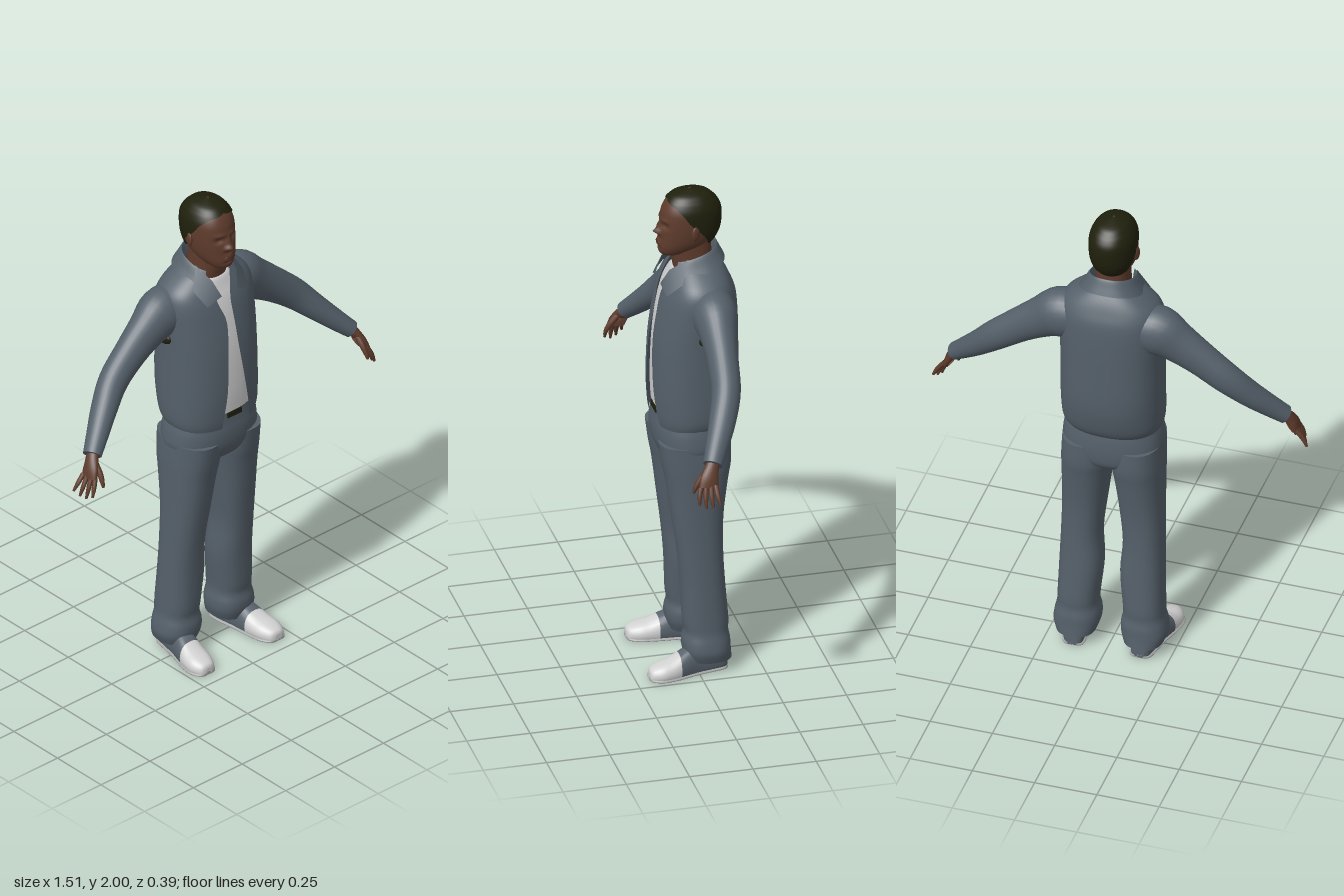
import * as THREE from 'three';

const mat = (name, color, side = THREE.FrontSide) => {
  const m = new THREE.MeshStandardMaterial({ color, side });
  m.name = name;
  return m;
};
const V = (x, y, z) => new THREE.Vector3(x, y, z);

// Skin a list of rings; winding is corrected so that faces point outwards
function loft(rings, { closed = true, caps = true } = {}) {
  const n = rings[0].length, pos = [], idx = [];
  rings.forEach(r => r.forEach(p => pos.push(p.x, p.y, p.z)));
  for (let i = 0; i < rings.length - 1; i++)
    for (let j = 0; j < (closed ? n : n - 1); j++) {
      const a = i * n + j, b = i * n + (j + 1) % n;
      idx.push(a, b, b + n, a, b + n, a + n);
    }
  if (caps) [0, rings.length - 1].forEach(i => {
    const r = rings[i], base = pos.length / 3;
    const c = r.reduce((s, p) => s.add(p), V(0, 0, 0)).divideScalar(n);
    [...r, c].forEach(p => pos.push(p.x, p.y, p.z));
    for (let j = 0; j < n; j++) {
      const a = base + j, b = base + (j + 1) % n;
      i ? idx.push(a, b, base + n) : idx.push(b, a, base + n);
    }
  });
  const P = i => V(pos[3 * i], pos[3 * i + 1], pos[3 * i + 2]);
  const mid = rings.flat().reduce((s, p) => s.add(p), V(0, 0, 0)).divideScalar(n * rings.length);
  let vol = 0;
  for (let i = 0; i < idx.length; i += 3) {
    const [a, b, c] = [0, 1, 2].map(k => P(idx[i + k]).sub(mid));
    vol += a.dot(b.cross(c));
  }
  if (vol < 0) idx.reverse();
  const g = new THREE.BufferGeometry();
  g.setAttribute('position', new THREE.Float32BufferAttribute(pos, 3));
  g.setIndex(idx);
  g.computeVertexNormals();
  return g;
}

// Catmull-Rom refinement of a table of section rows
function refine(rows, k) {
  const out = [], at = i => rows[Math.min(Math.max(i, 0), rows.length - 1)];
  for (let i = 0; i < rows.length - 1; i++)
    for (let s = 0; s < k; s++) {
      const t = s / k;
      out.push(rows[i].map((p1, c) => {
        const p0 = at(i - 1)[c], p2 = at(i + 1)[c], p3 = at(i + 2)[c];
        return p1 + 0.5 * t * (p2 - p0 + t * (2 * p0 - 5 * p1 + 4 * p2 - p3 + t * (3 * (p1 - p2) + p3 - p0)));
      }));
    }
  out.push(rows[rows.length - 1]);
  return out;
}

const pw = (v, e) => Math.sign(v) * Math.abs(v) ** e;

// Upright body: rows are [y, xMin, xMax, zFront, zBack, gapLeft, gapRight]; gaps (radians) leave the front open
function upright(rows, { n = 40, e = 0.85, k = 4, open = false, caps = !open, tilt = 0 } = {}) {
  return loft(refine(rows, k).map(([y, x0, x1, zf, zb, a = 0, b = 0]) =>
    Array.from({ length: n }, (_, j) => {
      const t = open ? a + (2 * Math.PI - a - b) * j / (n - 1) : 2 * Math.PI * j / n;
      const z = (zf + zb) / 2 + (zf - zb) / 2 * pw(Math.cos(t), e);
      return V((x0 + x1) / 2 + (x1 - x0) / 2 * pw(Math.sin(t), e), y - tilt * z, z);
    })), { closed: !open, caps });
}
const sym = rows => rows.map(([y, r, ...rest]) => [y, -r, r, ...rest]);

// Limb along a path: rows are [x, y, z, halfThickness, halfWidth]; s mirrors x
function limb(rows, s, n = 20, k = 4) {
  const R = refine(rows, k), C = R.map(r => V(r[0] * s, r[1], r[2]));
  return loft(R.map((r, i) => {
    const t = C[Math.min(i + 1, C.length - 1)].clone().sub(C[Math.max(i - 1, 0)]).normalize();
    const u = V(0, 0, 1).addScaledVector(t, -t.z).normalize(), v = t.clone().cross(u);
    return Array.from({ length: n }, (_, j) => {
      const a = 2 * Math.PI * j / n;
      return C[i].clone().addScaledVector(v, r[3] * Math.cos(a)).addScaledVector(u, r[4] * Math.sin(a));
    });
  }));
}

// Shoe piece along z: rows are [z, centreX, halfWidth, top], flat at the ground
const shoe = (rows, s) => loft(refine(rows, 4).map(([z, cx, w, h]) =>
  Array.from({ length: 24 }, (_, j) => {
    const a = 2 * Math.PI * j / 24;
    return V(s * (cx + w * pw(Math.cos(a), 0.75)), Math.max(0.002, h * (0.35 + 0.65 * Math.sin(a))), z);
  })));

export function createModel() {
  const root = new THREE.Group();
  root.name = 'standingMan';
  const denim = mat('denim', 0x55606a, THREE.DoubleSide);
  const skin = mat('skin', 0x5e3b2c), palmSkin = mat('palm', 0x8a5c48), lip = mat('lips', 0x4c2c24);
  const hair = mat('hair', 0x20200d, THREE.DoubleSide);
  const white = mat('white', 0xd2d2d2), shoeGrey = mat('shoeGrey', 0x59636d), soleGrey = mat('sole', 0xa5a5a5);
  const add = (name, geo, m) => {
    const mesh = new THREE.Mesh(geo, m);
    mesh.name = name;
    root.add(mesh);
    return mesh;
  };
  const ball = (name, m, p, r, rot = 0) => {
    const b = add(name, new THREE.SphereGeometry(1, 20, 14), m);
    b.position.set(...p);
    b.scale.set(...r);
    b.rotation.y = rot;
  };

  // Head, with the face shaped by soft bumps [x, y, widthX, widthY, depth]
  const headRows = [
    [1.732, 0.03, 0.1, 0.0], [1.745, 0.05, 0.112, -0.03], [1.77, 0.068, 0.116, -0.07],
    [1.8, 0.08, 0.113, -0.1], [1.84, 0.087, 0.11, -0.12], [1.88, 0.089, 0.106, -0.128],
    [1.92, 0.087, 0.099, -0.126], [1.955, 0.074, 0.08, -0.108], [1.98, 0.05, 0.05, -0.075], [1.994, 0.008, 0.0, -0.02]];
  const head = upright(sym(headRows), { n: 72, e: 0.92, k: 7 });
  const bumps = [
    [0, 1.832, 0.014, 0.011, 0.022], [0, 1.855, 0.009, 0.02, 0.012], [0.016, 1.828, 0.008, 0.008, 0.008],
    [0.034, 1.864, 0.017, 0.011, -0.012], [0.03, 1.886, 0.024, 0.008, 0.005],
    [0, 1.795, 0.02, 0.006, 0.007], [0, 1.78, 0.018, 0.006, 0.006], [0, 1.766, 0.02, 0.006, -0.005]];
  const hp = head.attributes.position;
  for (let i = 0; i < hp.count; i++) if (hp.getZ(i) > 0.03) {
    const x = Math.abs(hp.getX(i)), y = hp.getY(i);
    const d = bumps.reduce((s, [bx, by, wx, wy, h]) =>
      s + h * Math.exp(-(((x - bx) / wx) ** 2) - ((y - by) / wy) ** 2), 0);
    hp.setZ(i, hp.getZ(i) + d);
  }
  head.computeVertexNormals();
  add('head', head, skin);
  add('neck', upright(sym([[1.58, 0.08, 0.05, -0.1], [1.66, 0.074, 0.053, -0.1], [1.72, 0.066, 0.062, -0.095], [1.79, 0.064, 0.07, -0.09]])), skin);
  ball('mouth', lip, [0, 1.788, 0.113], [0.022, 0.006, 0.009]);

  // Cropped hair: an open cap with hairline, temples and nape
  add('hair', upright(sym([
    [1.768, 0.062, 0.08, -0.088, 2.5, 2.5], [1.79, 0.08, 0.1, -0.106, 2.2, 2.2], [1.82, 0.088, 0.112, -0.123, 1.95, 1.95],
    [1.85, 0.092, 0.113, -0.131, 1.7, 1.7], [1.89, 0.093, 0.11, -0.134, 1.4, 1.4], [1.925, 0.09, 0.102, -0.13, 1.15, 1.15],
    [1.95, 0.081, 0.09, -0.117, 0.75, 0.75], [1.966, 0.071, 0.077, -0.102, 0, 0], [1.985, 0.051, 0.052, -0.077, 0, 0],
    [2.0, 0.004, -0.005, -0.015, 0, 0]]), { n: 60, e: 0.92, open: true }), hair);

  // Shirt and belt buckle
  add('shirt', upright(sym([
    [1.095, 0.175, 0.133, -0.14], [1.2, 0.18, 0.137, -0.17], [1.37, 0.18, 0.13, -0.17], [1.5, 0.18, 0.111, -0.165],
    [1.58, 0.17, 0.092, -0.155], [1.63, 0.145, 0.073, -0.14], [1.665, 0.1, 0.06, -0.115], [1.675, 0.085, 0.05, -0.1]])), white);
  const buckle = add('beltBuckle', new THREE.BoxGeometry(0.07, 0.022, 0.009), hair);
  buckle.position.set(0.01, 1.083, 0.132);

  // Open jacket
  add('jacket', upright(sym([
    [1.035, 0.185, 0.138, -0.14, 0.44, 0.24], [1.08, 0.198, 0.146, -0.165, 0.35, 0.22], [1.2, 0.2, 0.152, -0.19, 0.22, 0.15],
    [1.37, 0.2, 0.144, -0.19, 0.095, 0.107], [1.5, 0.204, 0.124, -0.186, 0.057, 0.067], [1.58, 0.204, 0.106, -0.178, 0.046, 0.168],
    [1.63, 0.188, 0.086, -0.16, 0.114, 0.23], [1.67, 0.145, 0.066, -0.14, 0.27, 0.34], [1.705, 0.092, 0.05, -0.115, 0.58, 0.58]]),
    { n: 64, open: true }), denim);

  // Folded collar, its front points added per side below
  add('collar', upright(sym([
    [1.68, 0.08, 0.06, -0.1, 0.75, 0.75], [1.728, 0.085, 0.07, -0.108, 0.75, 0.75], [1.732, 0.09, 0.075, -0.114, 0.75, 0.75],
    [1.7, 0.108, 0.09, -0.128, 0.75, 0.75], [1.668, 0.128, 0.1, -0.142, 0.75, 0.75]]), { open: true, tilt: 0.3 }), denim);

  // Trouser seat
  add('hips', upright(sym([
    [0.86, 0.07, 0.07, -0.1], [0.89, 0.15, 0.11, -0.135], [0.94, 0.196, 0.134, -0.146], [1.0, 0.196, 0.139, -0.145],
    [1.05, 0.185, 0.133, -0.138], [1.092, 0.172, 0.129, -0.132]])), denim);

  for (const [s, side] of [[1, 'left'], [-1, 'right']]) {
    ball(side + 'Ear', skin, [s * 0.091, 1.845, -0.012], [0.009, 0.03, 0.018], s * 0.35);
    ball(side + 'Eye', lip, [s * 0.034, 1.864, 0.081], [0.014, 0.007, 0.009], s * 0.3);

    // Collar point
    const flap = new THREE.BufferGeometry();
    const pts = [[0.084, 1.735, 0.015], [0.062, 1.69, 0.085], [0.04, 1.625, 0.116], [0.105, 1.597, 0.108], [0.127, 1.65, 0.05]];
    flap.setAttribute('position', new THREE.Float32BufferAttribute(pts.flatMap(p => [p[0] * s, p[1], p[2]]), 3));
    flap.setIndex(s > 0 ? [0, 1, 4, 1, 3, 4, 1, 2, 3] : [0, 4, 1, 1, 4, 3, 1, 3, 2]);
    flap.computeVertexNormals();
    add(side + 'CollarPoint', flap, denim);

    // Sleeve and underarm patch
    add(side + 'Sleeve', limb([
      [0.11, 1.55, -0.06, 0.085, 0.085], [0.195, 1.535, -0.06, 0.103, 0.088], [0.27, 1.492, -0.055, 0.084, 0.071],
      [0.36, 1.43, -0.048, 0.07, 0.06], [0.46, 1.35, -0.035, 0.061, 0.056], [0.54, 1.27, 0.0, 0.05, 0.052],
      [0.61, 1.2, 0.04, 0.041, 0.044], [0.662, 1.15, 0.07, 0.034, 0.038]], s, 28), denim);
    ball(side + 'UnderarmPatch', hair, [s * 0.203, 1.437, -0.035], [0.014, 0.026, 0.04]);

    // Hand: palm, four fingers, thumb
    add(side + 'Hand', limb([[0.645, 1.168, 0.06, 0.022, 0.026], [0.668, 1.14, 0.076, 0.02, 0.028],
      [0.688, 1.105, 0.09, 0.018, 0.036], [0.703, 1.073, 0.097, 0.012, 0.037]], s), skin);
    add(side + 'Palm', limb([[0.662, 1.132, 0.08, 0.006, 0.012], [0.671, 1.105, 0.09, 0.006, 0.028],
      [0.689, 1.073, 0.097, 0.005, 0.03]], s), palmSkin);
    for (let i = 0; i < 4; i++) {
      const o = i - 1.5, L = [0.06, 0.075, 0.08, 0.068][i], z = 0.096 + o * 0.018;
      const dx = 0.036 - o * 0.006;
      add(side + 'Finger' + (i + 1), limb([[0.7 - o * 0.004, 1.083, z, 0.01, 0.01],
        [0.7 + dx * 0.6 - o * 0.004, 1.08 - L * 0.5, z + 0.005 + o * 0.004, 0.009, 0.009],
        [0.7 + dx - o * 0.004, 1.08 - L, z + 0.004 + o * 0.007, 0.005, 0.005]], s, 10), skin);
    }
    add(side + 'Thumb', limb([[0.672, 1.132, 0.092, 0.014, 0.014], [0.672, 1.095, 0.125, 0.012, 0.012],
      [0.675, 1.065, 0.143, 0.009, 0.009], [0.676, 1.045, 0.15, 0.005, 0.005]], s, 12), skin);

    // Trouser leg
    const leg = [[0.97, 0.004, 0.196, 0.137, -0.144], [0.88, 0.0, 0.2, 0.125, -0.144], [0.8, 0.011, 0.2, 0.11, -0.13],
      [0.65, 0.03, 0.2, 0.09, -0.11], [0.5, 0.045, 0.203, 0.07, -0.107], [0.36, 0.037, 0.207, 0.058, -0.115],
      [0.22, 0.05, 0.211, 0.052, -0.125], [0.17, 0.052, 0.213, 0.046, -0.124], [0.13, 0.044, 0.222, 0.054, -0.131],
      [0.09, 0.045, 0.226, 0.052, -0.133], [0.05, 0.058, 0.213, 0.038, -0.137]];
    add(side + 'Leg', upright(leg.map(([y, a, b, ...z]) => s > 0 ? [y, a, b, ...z] : [y, -b, -a, ...z])), denim);

    // Shoe: white toe, grey quarter, thin sole
    const mid = [0.075, 0.165, 0.054, 0.086];
    const toe = [[0.197, 0.178, 0.016, 0.03], [0.188, 0.178, 0.036, 0.045], [0.15, 0.176, 0.054, 0.06], [0.11, 0.171, 0.056, 0.07], mid];
    const heel = [mid, [0.04, 0.158, 0.05, 0.105], [0, 0.15, 0.046, 0.12], [-0.06, 0.14, 0.044, 0.12],
      [-0.105, 0.135, 0.038, 0.11], [-0.12, 0.135, 0.02, 0.06]];
    add(side + 'ShoeToe', shoe(toe, s), white);
    add(side + 'ShoeBody', shoe(heel, s), shoeGrey);
    add(side + 'Sole', shoe([...toe, ...heel.slice(1)].map(([z, c, w]) => [z, c, w + 0.004, 0.016]), s)
      .translate(0, -0.002, 0), soleGrey);
  }
  return root;
}
